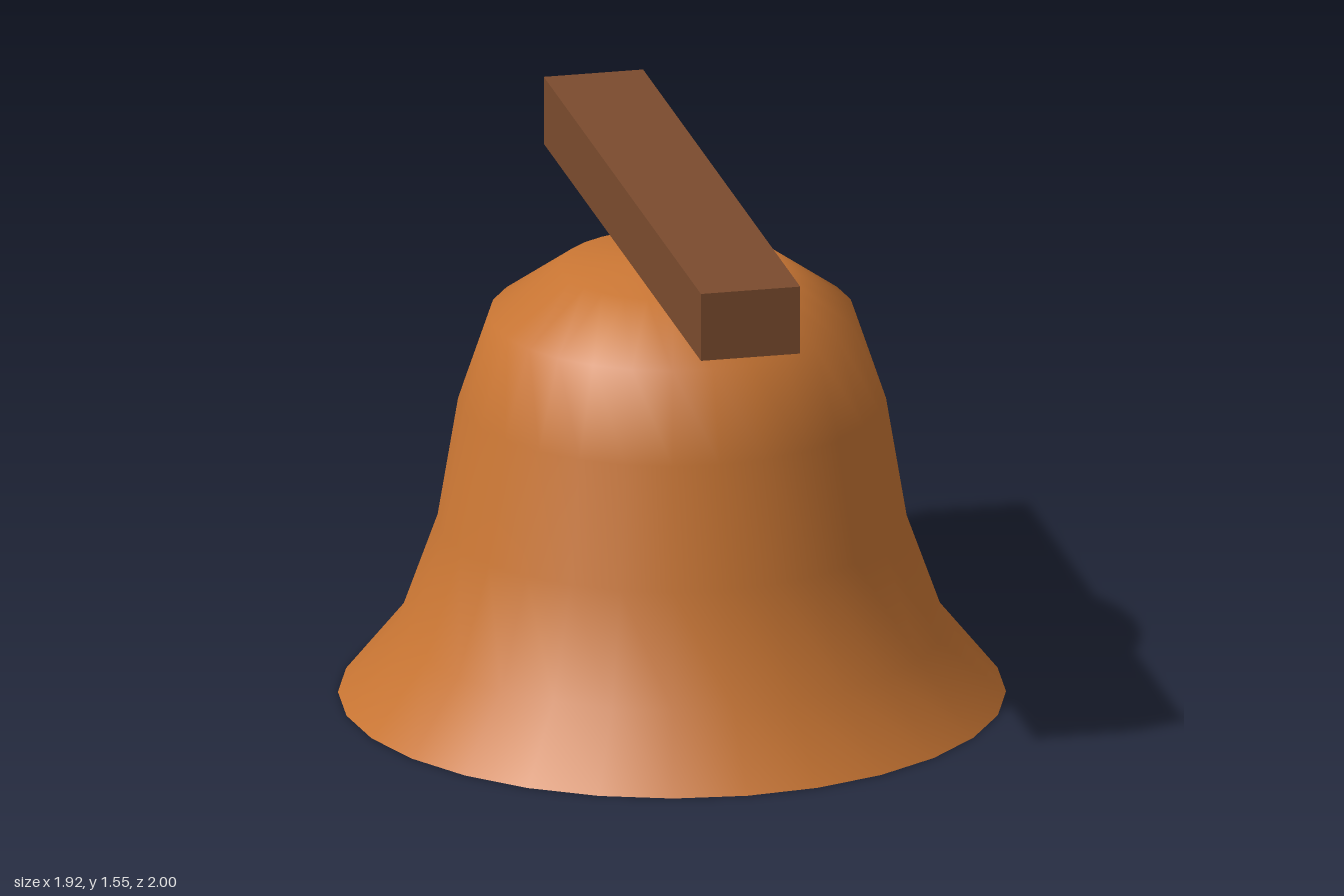
import * as THREE from 'three';

export function createModel() {
  const model = new THREE.Group();
  const copper = new THREE.MeshStandardMaterial({ name: 'copper', color: 0xc87533 });
  const wood = new THREE.MeshStandardMaterial({ name: 'wood', color: 0x7b4b2e });
  const SIDES = 28;

  function add(name, geometry, material) {
    const mesh = new THREE.Mesh(geometry, material);
    mesh.name = name;
    model.add(mesh);
    return mesh;
  }

  // Flared bell body, smooth shaded, from rim to crown
  const profile = [
    [0.96, 0], [0.79, 0.21], [0.675, 0.53], [0.615, 0.89],
    [0.527, 1.15], [0.322, 1.295], [0, 1.325],
  ].map(([r, y]) => new THREE.Vector2(r, y));
  add('bellBody', new THREE.LatheGeometry(profile, SIDES), copper);

  // Flat closed mouth of the bell
  add('bellMouth', new THREE.CircleGeometry(0.96, SIDES).rotateX(Math.PI / 2), copper);

  // Wooden beam running front to back just above the crown
  add('beam', new THREE.BoxGeometry(0.293, 0.203, 2), wood).position.y = 1.445;

  return model;
}
